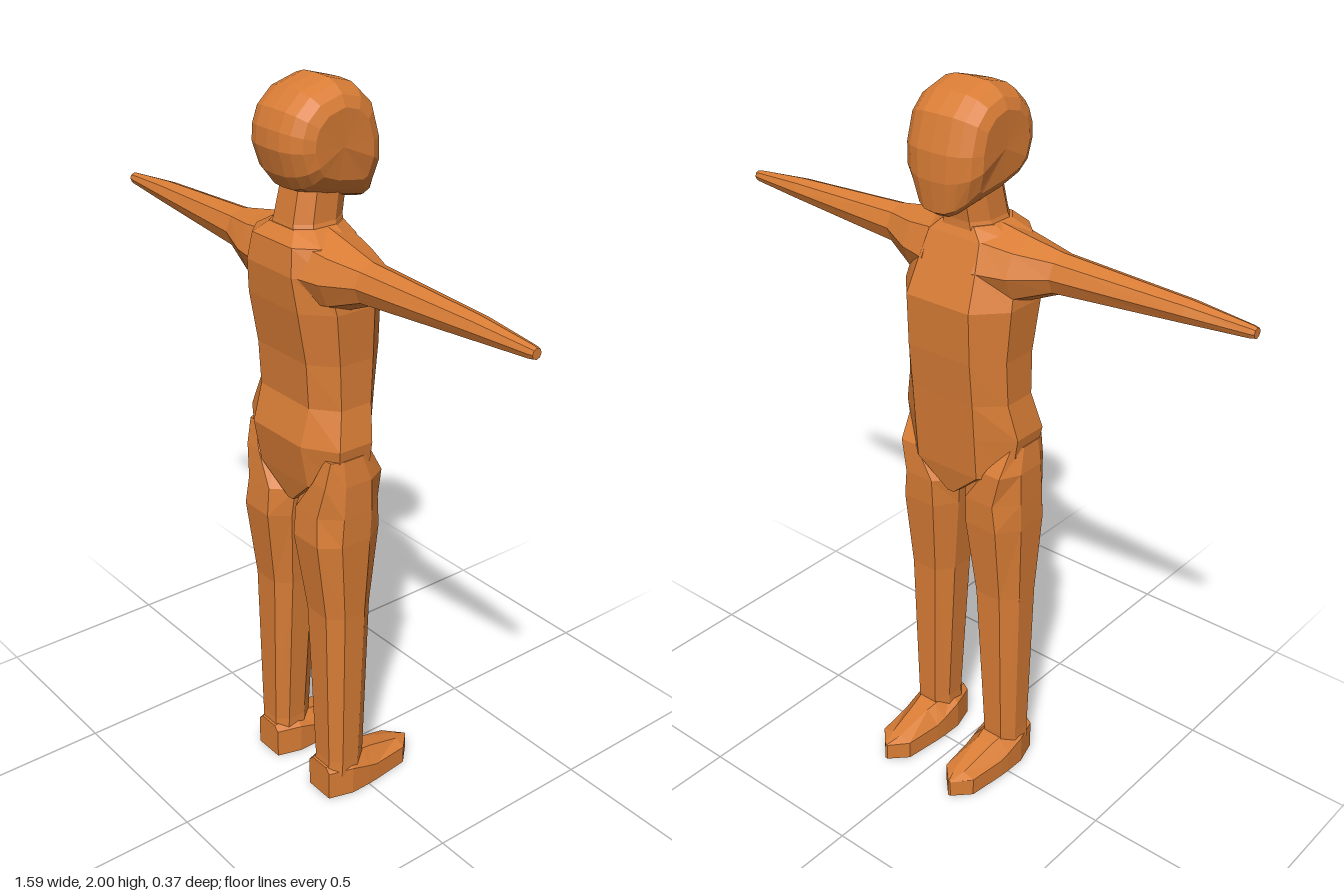
import * as THREE from 'three';

const skin = new THREE.MeshStandardMaterial({ color: 0xd97d36 });
skin.name = 'orange clay';

// Flat-faced skin over rings of [x, y, z] points, capped at both ends and turned outward
function loft(name, rings, mirror = 1) {
  const n = rings[0].length, pos = [], tris = [];
  for (const ring of rings) for (const p of ring) pos.push(new THREE.Vector3(p[0] * mirror, p[1], p[2]));
  for (let r = 0; r < rings.length - 1; r++) {
    for (let i = 0; i < n; i++) {
      const a = r * n + i, b = r * n + (i + 1) % n;
      tris.push([a, b, b + n], [a, b + n, a + n]);
    }
  }
  const cap = (start, flip) => {
    const mid = new THREE.Vector3();
    for (let i = 0; i < n; i++) mid.addScaledVector(pos[start + i], 1 / n);
    pos.push(mid);
    for (let i = 0; i < n; i++) {
      const a = start + i, b = start + (i + 1) % n;
      tris.push(flip ? [b, a, pos.length - 1] : [a, b, pos.length - 1]);
    }
  };
  cap(0, true);
  cap((rings.length - 1) * n, false);
  // A negative enclosed volume means the faces point inward
  let volume = 0;
  for (const [a, b, c] of tris) volume += pos[a].dot(pos[b].clone().cross(pos[c]));
  const points = tris.flatMap(t => (volume < 0 ? [t[0], t[2], t[1]] : t).map(i => pos[i]));
  const geometry = new THREE.BufferGeometry().setFromPoints(points);
  geometry.computeVertexNormals();
  const mesh = new THREE.Mesh(geometry, skin);
  mesh.name = name;
  return mesh;
}

// Horizontal eight-sided section: middle x, half width, flat half width, far and near z
function level(cx, y, w, flat, zMin, zMax) {
  const d = zMax - zMin, z1 = zMin + d * 0.3, z2 = zMax - d * 0.25;
  return [[cx - flat, y, zMin], [cx + flat, y, zMin], [cx + w, y, z1], [cx + w, y, z2],
    [cx + flat, y, zMax], [cx - flat, y, zMax], [cx - w, y, z2], [cx - w, y, z1]];
}

function makeTorso() {
  // y, half width, flat half width, front z, back z
  const levels = [
    [0.9, 0.02, 0.01, -0.035, 0.13],
    [0.98, 0.17, 0.1, -0.05, 0.148],
    [1.1, 0.188, 0.1, -0.06, 0.17],
    [1.2, 0.165, 0.1, -0.068, 0.143],
    [1.32, 0.163, 0.1, -0.08, 0.15],
    [1.46, 0.172, 0.1, -0.085, 0.175],
    [1.55, 0.16, 0.09, -0.048, 0.185],
    [1.62, 0.13, 0.08, -0.02, 0.175],
    [1.65, 0.08, 0.05, -0.005, 0.145],
  ];
  return loft('torso', levels.map(l => level(0, ...l)));
}

function makeNeck() {
  return loft('neck', [
    level(0, 1.62, 0.085, 0.05, -0.01, 0.15),
    level(0, 1.66, 0.07, 0.04, -0.01, 0.14),
    level(0, 1.77, 0.062, 0.035, -0.03, 0.115),
  ]);
}

function makeHead() {
  // Side outline as [z, y], repeated across the width at shrinking scales
  const outline = [[0.185, 1.845], [0.182, 1.89], [0.165, 1.935], [0.12, 1.977], [0.04, 2],
    [-0.03, 1.98], [-0.077, 1.935], [-0.102, 1.85], [-0.104, 1.78], [-0.094, 1.7],
    [-0.075, 1.688], [0.06, 1.712], [0.138, 1.742], [0.165, 1.78]];
  const slices = [[0, 1], [0.045, 0.985], [0.075, 0.92], [0.1, 0.79], [0.113, 0.6]];
  const both = [...slices.slice(1).reverse().map(([x, s]) => [-x, s]), ...slices];
  return loft('head', both.map(([x, s]) => outline.map(([z, y]) => {
    const py = 1.85 + (y - 1.85) * s;
    const jaw = 1 - 0.35 * THREE.MathUtils.clamp((1.8 - py) / 0.11, 0, 1);
    return [x * jaw, py, 0.04 + (z - 0.04) * s];
  })));
}

function makeArm(mirror) {
  // x, low y, high y, front z, back z
  const sections = [
    [0.08, 1.45, 1.65, -0.05, 0.18],
    [0.165, 1.465, 1.633, -0.025, 0.162],
    [0.26, 1.507, 1.615, 0.02, 0.13],
    [0.62, 1.538, 1.598, 0.04, 0.108],
    [0.78, 1.55, 1.583, 0.058, 0.091],
    [0.793, 1.553, 1.58, 0.061, 0.088],
  ];
  return loft('arm', sections.map(([x, y0, y1, z0, z1]) => Array.from({ length: 8 }, (_, i) => {
    const a = i * Math.PI / 4;
    return [x, (y0 + y1) / 2 + Math.sin(a) * (y1 - y0) / 2, (z0 + z1) / 2 + Math.cos(a) * (z1 - z0) / 2];
  })), mirror);
}

function makeLeg(mirror) {
  // middle x, y, half width, flat half width, front z, back z
  const levels = [
    [0.125, 0.07, 0.055, 0.03, 0.005, 0.125],
    [0.125, 0.12, 0.055, 0.03, 0.002, 0.122],
    [0.115, 0.6, 0.075, 0.04, -0.015, 0.132],
    [0.108, 0.83, 0.09, 0.05, -0.042, 0.163],
    [0.104, 0.91, 0.094, 0.045, -0.045, 0.156],
    [0.143, 1.0, 0.053, 0.025, -0.04, 0.145],
    [0.16, 1.07, 0.026, 0.012, 0.0, 0.13],
  ];
  return loft('leg', levels.map(([cx, ...rest]) => level(cx, ...rest)), mirror);
}

function makeFoot(mirror) {
  // z, half width, side height, ridge half width, ridge height
  const sections = [
    [0.13, 0.045, 0.085, 0.03, 0.1],
    [0.06, 0.066, 0.085, 0.035, 0.11],
    [0.0, 0.065, 0.065, 0.03, 0.105],
    [-0.03, 0.063, 0.056, 0.025, 0.097],
    [-0.14, 0.05, 0.053, 0.015, 0.064],
    [-0.187, 0.004, 0.05, 0.002, 0.052],
  ];
  return loft('foot', sections.map(([z, w, side, r, top]) => [
    [0.121 - w, 0, z], [0.121 + w, 0, z], [0.121 + w, side, z],
    [0.121 + r, top, z], [0.121 - r, top, z], [0.121 - w, side, z],
  ]), mirror);
}

export function createModel() {
  const figure = new THREE.Group();
  figure.name = 'figure';
  figure.add(makeTorso(), makeNeck(), makeHead());
  for (const [side, mirror] of [['left', 1], ['right', -1]]) {
    for (const [part, make] of [['Arm', makeArm], ['Leg', makeLeg], ['Foot', makeFoot]]) {
      const mesh = make(mirror);
      mesh.name = side + part;
      figure.add(mesh);
    }
  }
  return figure;
}
